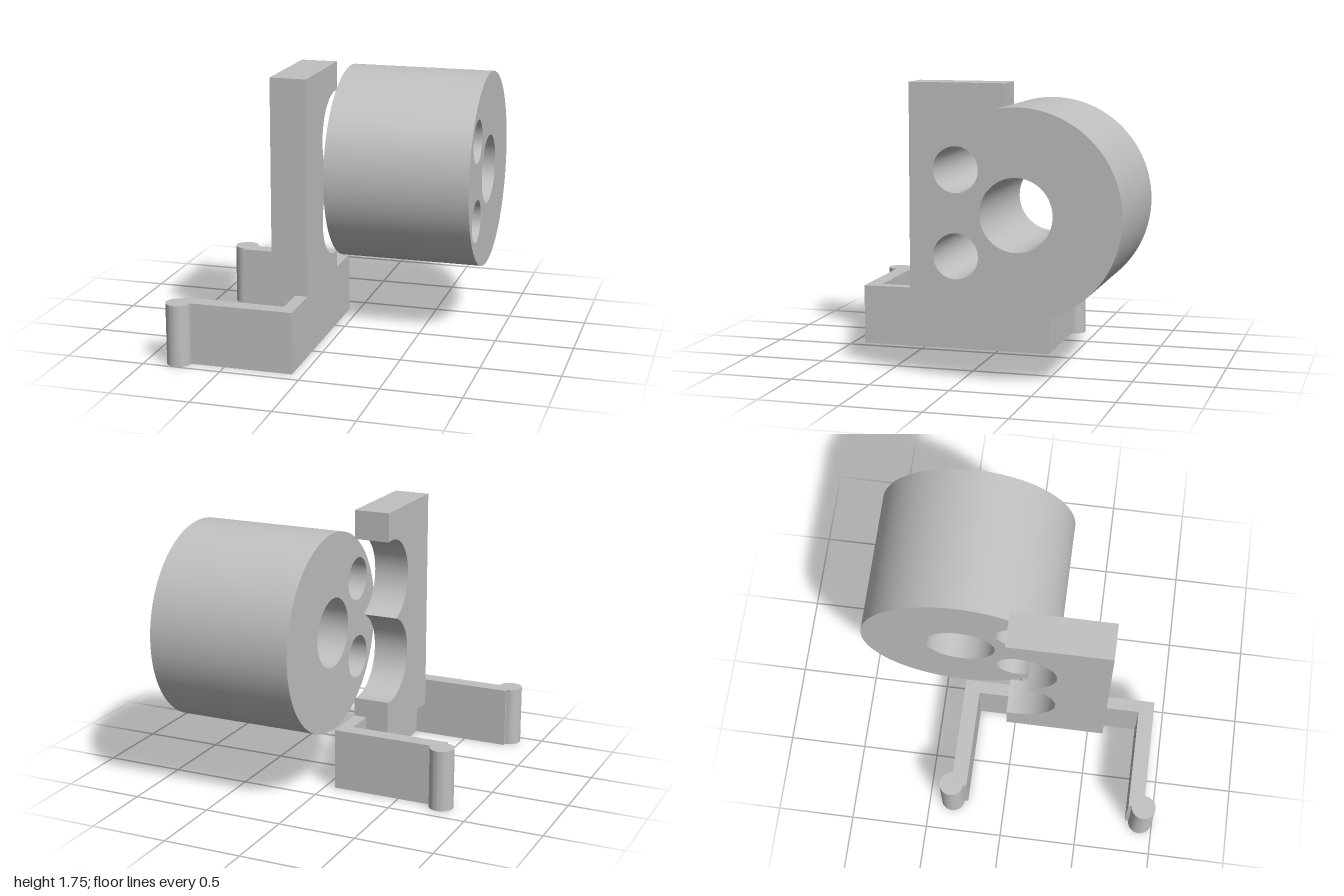
import * as THREE from 'three';
import { toCreasedNormals } from 'three/addons/utils/BufferGeometryUtils.js';

const grey = new THREE.MeshStandardMaterial({ color: 0xc0c0c0 });
grey.name = 'grey';

function part(group, name, geometry) {
  const mesh = new THREE.Mesh(toCreasedNormals(geometry, 0.5), grey);
  mesh.name = name;
  group.add(mesh);
  return mesh;
}

const extrude = (shape, depth) =>
  new THREE.ExtrudeGeometry(shape, { depth, bevelEnabled: false, curveSegments: 64 });

// Profiles drawn in (-z, y) and swept along x
const alongX = (shape, x0, x1) =>
  extrude(shape, x1 - x0).rotateY(Math.PI / 2).translate(x0, 0, 0);

function circleHole(u, y, r) {
  return new THREE.Path().absarc(u, y, r, 0, Math.PI * 2, true);
}

export function createModel() {
  const model = new THREE.Group();
  model.name = 'drumHolder';
  const midY = 1.035, offset = 0.2575, clipHeight = 0.39, face = -0.065;

  // Drum with a centre bore and two smaller bores
  const drum = new THREE.Shape().absarc(0.37, midY, 0.63, 0, Math.PI * 2, false);
  drum.holes.push(circleHole(0.367, midY, 0.221));
  for (const s of [-1, 1]) drum.holes.push(circleHole(0, midY + s * offset, 0.138));
  part(model, 'drum', alongX(drum, face, 0.86));

  // Upright plate with two round notches meeting in a cusp
  const r = 0.272, edge = 0.045;
  const a = Math.acos(edge / r);
  const b = Math.asin(offset / r);
  const plate = new THREE.Shape();
  plate.moveTo(-0.6, 0.3);
  plate.lineTo(edge, 0.3);
  plate.absarc(0, midY - offset, r, -a, Math.PI - b, true);
  plate.absarc(0, midY + offset, r, Math.PI + b, a, true);
  plate.lineTo(edge, 1.745);
  plate.lineTo(-0.6, 1.745);
  plate.closePath();
  part(model, 'uprightPlate', alongX(plate, -0.295, face));

  // U-shaped clip, drawn in plan as (x, -z) and raised along y
  const clip = new THREE.Shape([
    [face, -0.92], [face, 0.345], [-0.79, 0.345], [-0.79, 0.245],
    [-0.145, 0.245], [-0.145, -0.82], [-0.79, -0.82], [-0.79, -0.92],
  ].map(([x, y]) => new THREE.Vector2(x, y)));
  part(model, 'clip', extrude(clip, clipHeight).rotateX(-Math.PI / 2));

  // Round beads on the ends of the clip arms
  for (const [name, z] of [['frontBead', 0.92], ['backBead', -0.345]]) {
    part(model, name, new THREE.CylinderGeometry(0.077, 0.077, clipHeight, 48))
      .position.set(-0.79, clipHeight / 2, z);
  }
  return model;
}
